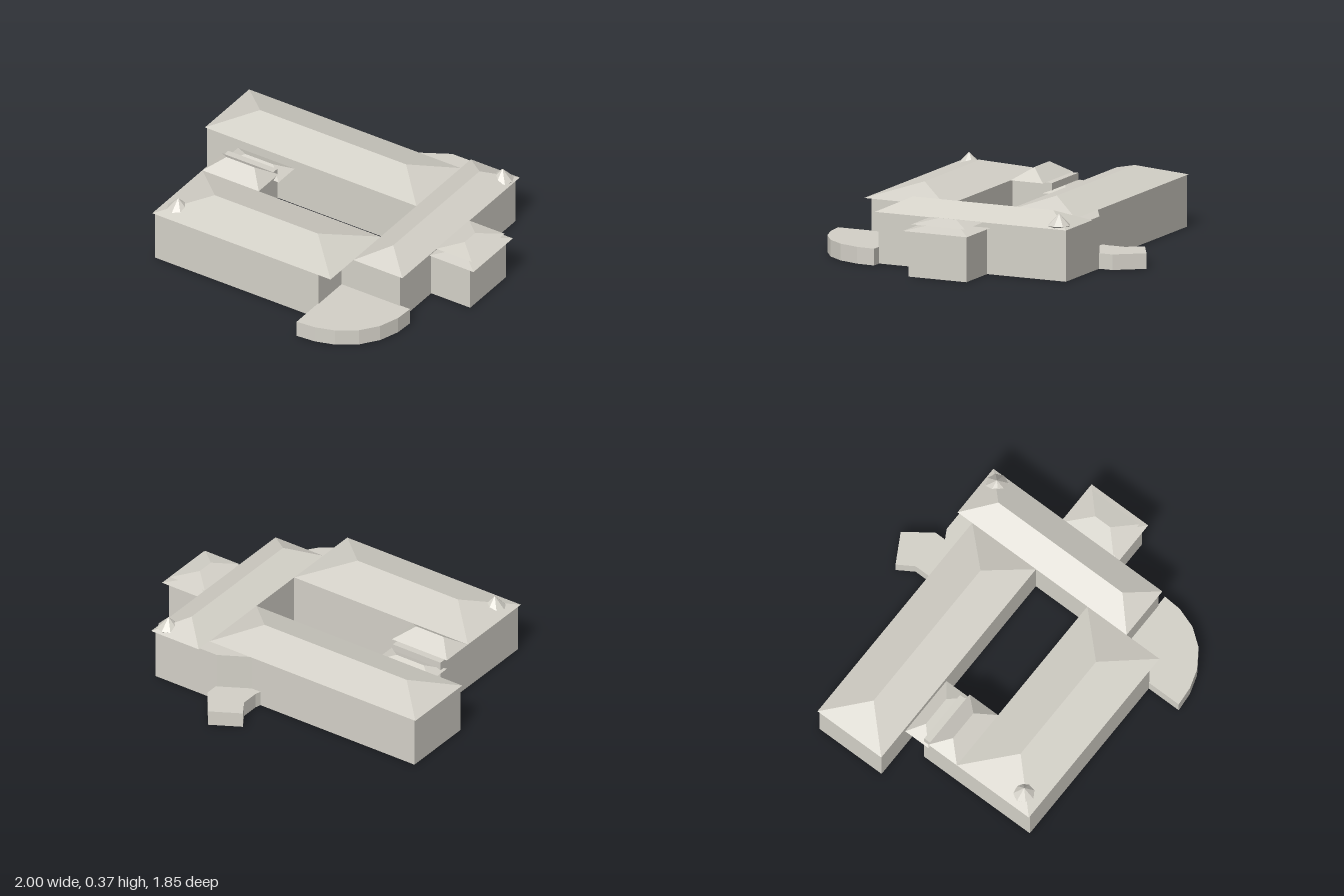
import * as THREE from 'three';

export function createModel() {
  const group = new THREE.Group();
  const stone = new THREE.MeshStandardMaterial({ color: 0xd4d1c8 });
  stone.name = 'pale stone';

  const add = (name, geometry) => {
    const flat = geometry.index ? geometry.toNonIndexed() : geometry;
    flat.computeVertexNormals(); // faceted
    const mesh = new THREE.Mesh(flat, stone);
    mesh.name = name;
    group.add(mesh);
    return mesh;
  };

  // Prism standing on the ground from a floor plan of [x, z] corners
  const prism = (name, plan, height) => {
    const shape = new THREE.Shape(plan.map(([x, z]) => new THREE.Vector2(x, -z)));
    const geometry = new THREE.ExtrudeGeometry(shape, { depth: height, bevelEnabled: false });
    return add(name, geometry.rotateX(-Math.PI / 2));
  };

  // Hip roof over a rectangle; the ridge runs from a to b ([x, z]) along x or z
  const hipRoof = (name, [x0, x1], [z0, z1], eave, top, a, b) => {
    const alongX = a[1] === b[1];
    const corners = [[x0, z0], [x0, z1], [x1, z1], [x1, z0]].map(([x, z]) => [x, eave, z]);
    const points = [...corners, [a[0], top, a[1]], [b[0], top, b[1]]];
    // a is the low end and b the high end of the ridge axis
    const slopes = alongX
      ? [0, 1, 4, 1, 2, 5, 1, 5, 4, 2, 3, 5, 3, 0, 4, 3, 4, 5]
      : [3, 0, 4, 0, 1, 5, 0, 5, 4, 1, 2, 5, 2, 3, 4, 2, 4, 5];
    const geometry = new THREE.BufferGeometry();
    geometry.setAttribute('position', new THREE.Float32BufferAttribute(points.flat(), 3));
    geometry.setIndex([...slopes, 0, 3, 2, 0, 2, 1]);
    return add(name, geometry);
  };

  // Main walls: three wings round a courtyard, with a link block on the right
  const eave = 0.295, ridge = 0.367;
  prism('mainWalls', [
    [-0.99, -0.592], [0.12, -0.592], [0.29, -0.688], [0.708, -0.688], [0.708, 0.475],
    [0.32, 0.475], [0.32, 0.71], [-0.765, 0.71], [-0.765, -0.03], [-0.44, -0.03],
    [-0.44, 0.215], [0.41, 0.215], [0.41, -0.155], [-0.99, -0.155],
  ], eave);

  // Wing roofs
  hipRoof('backWingRoof', [-1, 0.405], [-0.597, -0.15], eave, ridge, [-0.78, -0.373], [0.19, -0.373]);
  hipRoof('frontWingRoof', [-0.78, 0.405], [0.21, 0.715], eave, ridge, [-0.53, 0.464], [0.155, 0.464]);
  hipRoof('sideWingRoof', [0.405, 0.73], [-0.7, 0.485], eave, ridge, [0.568, -0.54], [0.568, 0.33]);

  // Link between the wings, with a lower roof over the open passage
  hipRoof('linkRoof', [-0.78, -0.405], [0.01, 0.21], eave, 0.363, [-0.685, 0.11], [-0.5, 0.11]);
  hipRoof('passageRoof', [-0.78, -0.405], [-0.152, 0.01], 0.24, 0.275, [-0.685, -0.08], [-0.5, -0.08]);

  // Side porch with two stacked roofs
  prism('porchWalls', [[0.7, -0.2], [0.967, -0.2], [0.967, 0.16], [0.7, 0.16]], 0.262);
  hipRoof('porchLowerRoof', [0.705, 1], [-0.22, 0.177], 0.262, 0.29, [0.845, -0.09], [0.845, 0.045]);
  hipRoof('porchUpperRoof', [0.73, 0.965], [-0.19, 0.142], 0.297, 0.322, [0.845, -0.075], [0.845, 0.03]);

  // Low round-cornered terrace
  prism('terrace', [
    [0.315, 0.47], [0.315, 0.92], [0.43, 0.91], [0.54, 0.875], [0.65, 0.80],
    [0.725, 0.70], [0.765, 0.58], [0.772, 0.47],
  ], 0.095);

  // Low angled annex at the back
  prism('annex', [
    [0.06, -0.592], [0.07, -0.625], [0.07, -0.735], [0.01, -0.83], [0.18, -0.925],
    [0.295, -0.77], [0.295, -0.688], [0.12, -0.592],
  ], 0.088);

  // Small pointed roof turrets
  for (const [x, z] of [[-0.68, 0.605], [0.665, -0.625]]) {
    add('turret', new THREE.ConeGeometry(0.065, 0.065, 8)).position.set(x, 0.34, z);
    add('turretBase', new THREE.CylinderGeometry(0.065, 0.045, 0.018, 8)).position.set(x, 0.299, z);
  }

  return group;
}
